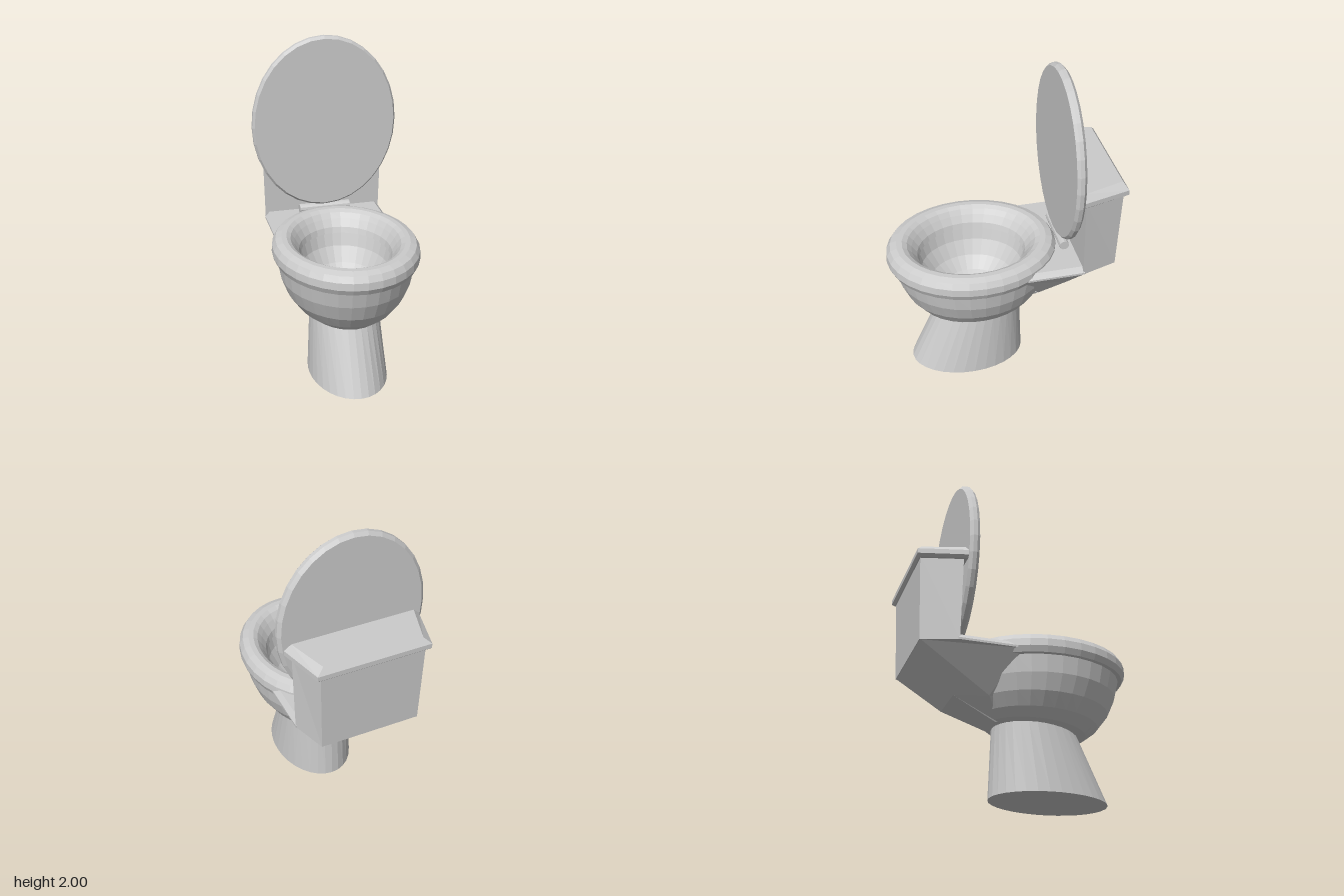
import * as THREE from 'three';

const material = new THREE.MeshStandardMaterial({ color: 0xcccccc, flatShading: true });
const SEGMENTS = 32;

// Skin a stack of rings (same point count, listed bottom to top), with optional caps.
function loft(name, rings, capStart = true, capEnd = true) {
  const pos = [];
  const tri = (a, b, c) => pos.push(...a, ...b, ...c);
  const n = rings[0].length;
  for (let i = 0; i < rings.length - 1; i++) {
    for (let j = 0; j < n; j++) {
      const k = (j + 1) % n;
      const a = rings[i][j], b = rings[i + 1][j], c = rings[i + 1][k], d = rings[i][k];
      tri(a, b, c);
      tri(a, c, d);
    }
  }
  const cap = (ring, up) => {
    const mid = [0, 1, 2].map(q => ring.reduce((s, p) => s + p[q], 0) / n);
    for (let j = 0; j < n; j++) {
      const k = (j + 1) % n;
      if (up) tri(mid, ring[k], ring[j]);
      else tri(mid, ring[j], ring[k]);
    }
  };
  if (capStart) cap(rings[0], false);
  if (capEnd) cap(rings[rings.length - 1], true);
  const geometry = new THREE.BufferGeometry();
  geometry.setAttribute('position', new THREE.Float32BufferAttribute(pos, 3));
  geometry.computeVertexNormals();
  const mesh = new THREE.Mesh(geometry, material);
  mesh.name = name;
  return mesh;
}

// Oval ring; tilt raises the back edge and lowers the front edge.
function oval(y, hx, hz, cz = 0, tilt = 0) {
  return Array.from({ length: SEGMENTS }, (_, i) => {
    const a = (i / SEGMENTS) * Math.PI * 2;
    return [hx * Math.cos(a), y - tilt * Math.sin(a), cz + hz * Math.sin(a)];
  });
}

// Left-right symmetric ring from [halfWidth, z] pairs, front to back.
function mirrored(y, pairs) {
  return [
    ...pairs.map(([x, z]) => [-x, y, z]),
    ...pairs.slice().reverse().map(([x, z]) => [x, y, z]),
  ];
}

export function createModel() {
  const toilet = new THREE.Group();
  toilet.name = 'toilet';
  const body = new THREE.Group();
  body.name = 'toiletBody';
  body.rotation.y = 0.08; // stands slightly turned
  body.position.x = 0.013;
  toilet.add(body);

  const CZ = 0.182; // centre of the seat and bowl

  // Pedestal, leaning back, with a sloped top
  body.add(loft('pedestal', [
    oval(0, 0.242, 0.362, 0.224),
    oval(0.42, 0.213, 0.262, 0.142, 0.022),
  ]));

  // Outer bowl
  body.add(loft('bowlOuter', [
    [0.408, 0.195, 0.262, 0.138, 0.022],
    [0.43, 0.245, 0.31, 0.15, 0.018],
    [0.48, 0.305, 0.37, 0.162, 0.012],
    [0.56, 0.36, 0.425, 0.172, 0.006],
    [0.66, 0.398, 0.463, 0.18, 0],
    [0.77, 0.413, 0.488, CZ, 0],
  ].map(r => oval(...r)), true, false));

  // Inner bowl, faces upward
  body.add(loft('bowlInner', [
    [0.78, 0.29, 0.345], [0.69, 0.265, 0.315], [0.6, 0.215, 0.255],
    [0.53, 0.15, 0.18], [0.49, 0.075, 0.09],
  ].map(r => oval(...r, CZ)), false, true));

  // Rounded seat ring, from under the lip over the top to the opening
  body.add(loft('seat', [
    [0.775, 0.27, 0.325], [0.765, 0.41, 0.487], [0.77, 0.43, 0.512],
    [0.805, 0.445, 0.53], [0.85, 0.443, 0.527], [0.885, 0.422, 0.505],
    [0.9, 0.385, 0.465], [0.9, 0.355, 0.43], [0.885, 0.33, 0.4],
    [0.855, 0.308, 0.372], [0.81, 0.28, 0.338], [0.775, 0.27, 0.325],
  ].map(r => oval(...r, CZ)), false, false));

  // Shelf behind the bowl, bevelled on top
  body.add(loft('shelf', [
    mirrored(0.795, [[0.22, -0.2], [0.38, -0.05], [0.38, -0.44]]),
    mirrored(0.808, [[0.22, -0.2], [0.38, -0.05], [0.38, -0.44]]),
    mirrored(0.838, [[0.22, -0.2], [0.352, -0.05], [0.352, -0.44]]),
  ]));

  // Tapered support under shelf and tank
  body.add(loft('tankSupport', [
    mirrored(0.435, [[0.08, -0.08], [0.09, -0.11], [0.09, -0.13]]),
    mirrored(0.55, [[0.18, -0.15], [0.2, -0.2], [0.14, -0.4]]),
    mirrored(0.8, [[0.22, -0.2], [0.38, -0.05], [0.31, -0.65]]),
  ]));

  // Tank
  body.add(loft('tank', [
    mirrored(0.795, [[0.378, -0.43], [0.31, -0.65]]),
    mirrored(1.33, [[0.39, -0.42], [0.325, -0.668]]),
  ]));
  body.add(loft('tankLid', [
    mirrored(1.31, [[0.41, -0.4], [0.338, -0.675]]),
    mirrored(1.325, [[0.426, -0.4], [0.352, -0.69]]),
    mirrored(1.355, [[0.426, -0.4], [0.352, -0.69]]),
    mirrored(1.395, [[0.385, -0.41], [0.308, -0.662]]),
  ]));

  // Raised seat cover and its hinge bar
  const cover = loft('seatCover', [
    oval(-0.03, 0.44, 0.535),
    oval(-0.012, 0.46, 0.555),
    oval(0.012, 0.46, 0.555),
    oval(0.03, 0.447, 0.54),
  ]);
  cover.rotation.x = Math.PI / 2;
  cover.position.set(0, 1.445, -0.37);
  body.add(cover);

  const hinge = new THREE.Mesh(new THREE.CylinderGeometry(0.03, 0.03, 0.33, 12), material);
  hinge.name = 'hingeBar';
  hinge.rotation.z = Math.PI / 2;
  hinge.position.set(0, 0.866, -0.37);
  body.add(hinge);

  return toilet;
}
